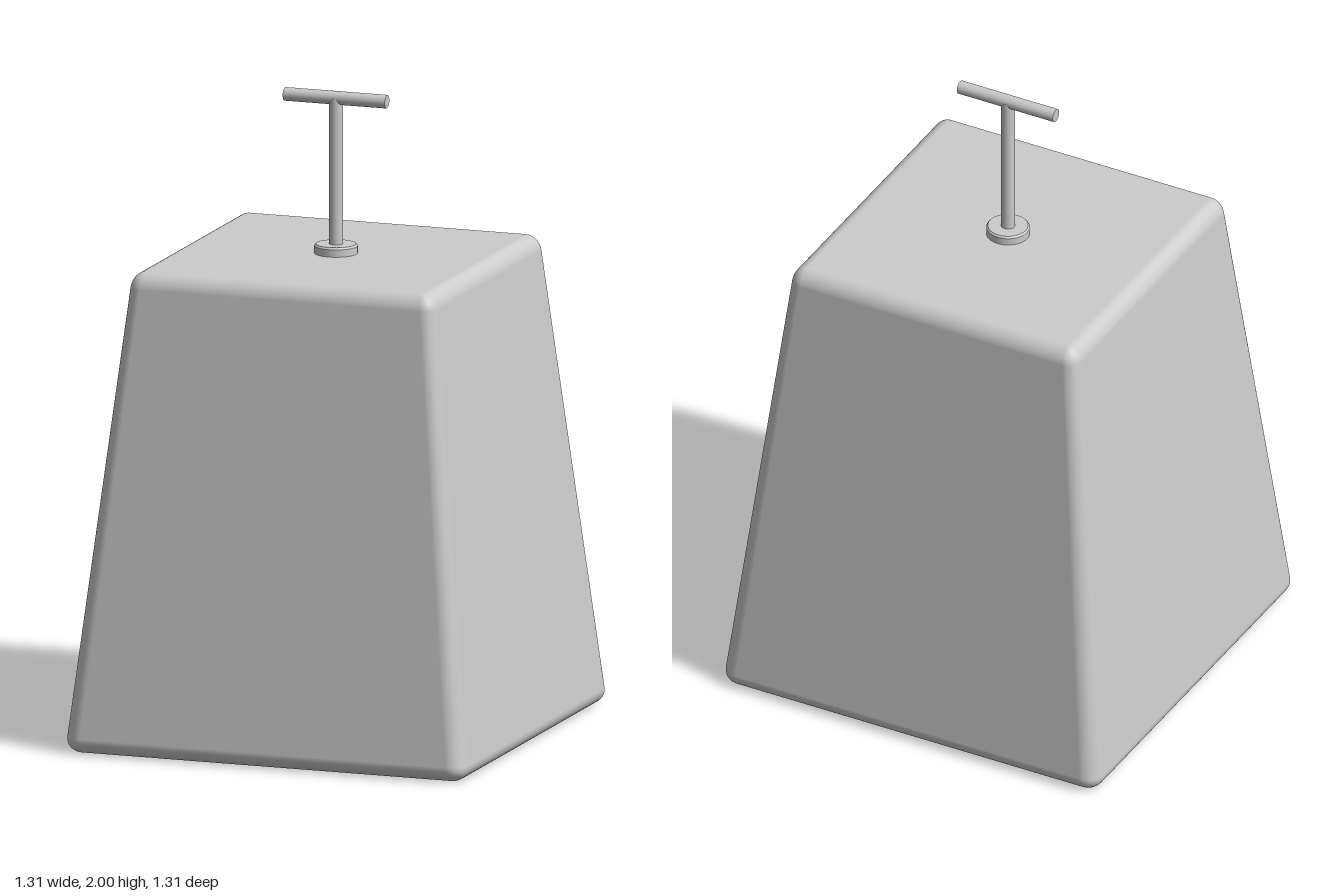
import * as THREE from 'three';
import { RoundedBoxGeometry } from 'three/addons/geometries/RoundedBoxGeometry.js';

const material = new THREE.MeshStandardMaterial({ color: 0xcccccc });

// Rounded box narrowing linearly upwards, with its normals tilted to match
function taperedBox(bottomHalf, topHalf, height, radius) {
  const mid = (bottomHalf + topHalf) / 2;
  const geometry = new RoundedBoxGeometry(mid * 2, height, mid * 2, 6, radius);
  const slope = (topHalf - bottomHalf) / mid / (height - 2 * radius);
  const position = geometry.attributes.position;
  const normal = geometry.attributes.normal;
  const n = new THREE.Vector3();
  for (let i = 0; i < position.count; i++) {
    const x = position.getX(i), y = position.getY(i), z = position.getZ(i);
    const s = 1 + slope * y;
    n.fromBufferAttribute(normal, i);
    n.set(n.x / s, n.y - (slope * (x * n.x + z * n.z)) / s, n.z / s).normalize();
    position.setXYZ(i, x * s, y, z * s);
    normal.setXYZ(i, n.x, n.y, n.z);
  }
  return geometry.translate(0, height / 2, 0);
}

export function createModel() {
  const model = new THREE.Group();
  const add = (name, geometry, y = 0) => {
    const mesh = new THREE.Mesh(geometry, material);
    mesh.name = name;
    mesh.position.y = y;
    model.add(mesh);
    return mesh;
  };

  // Tapered block with soft edges
  add('body', taperedBox(0.655, 0.501, 1.492, 0.05));

  // Collar with a small chamfer where the stem enters the body
  const collar = [[0, 0], [0.067, 0], [0.067, 0.03], [0.062, 0.036], [0, 0.036]];
  const profile = [];
  collar.forEach(([r, y], i) => {
    // doubled corner points keep the rims crisp
    profile.push(new THREE.Vector2(r, y));
    if (i > 0 && i < 4) profile.push(new THREE.Vector2(r, y + 1e-5));
  });
  add('collar', new THREE.LatheGeometry(profile, 32), 1.485);

  // Stem and T-shaped grip
  add('stem', new THREE.CylinderGeometry(0.022, 0.022, 0.49, 24), 1.735);
  add('handleBar', new THREE.CylinderGeometry(0.021, 0.021, 0.334, 24), 1.979).rotation.z = Math.PI / 2;

  return model;
}
